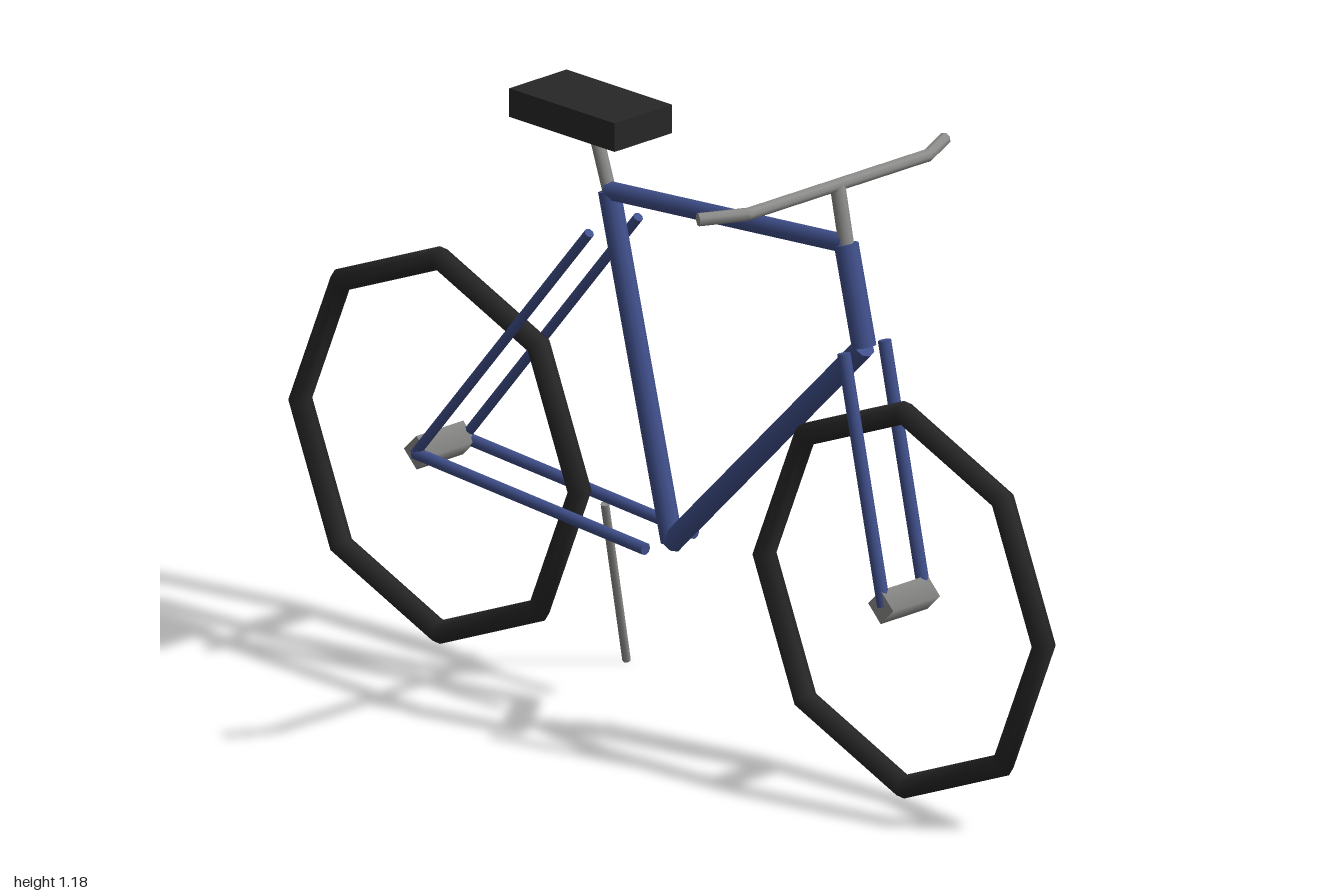
import * as THREE from 'three';

const material = (name, color) => {
  const m = new THREE.MeshStandardMaterial({ color });
  m.name = name;
  return m;
};

export function createModel() {
  const bike = new THREE.Group();
  bike.name = 'bicycle';
  const blue = material('frame blue', 0x40508c);
  const metal = material('grey metal', 0x8c8c8a);
  const black = material('black rubber', 0x272727);

  const add = (name, geometry, mat, x = 0, y = 0, z = 0) => {
    const mesh = new THREE.Mesh(geometry, mat);
    mesh.name = name;
    mesh.position.set(x, y, z);
    bike.add(mesh);
    return mesh;
  };

  // Straight tube between two points
  const tube = (name, a, b, radius, mat, sides = 8) => {
    const start = new THREE.Vector3(...a);
    const dir = new THREE.Vector3(...b).sub(start);
    const mesh = add(name, new THREE.CylinderGeometry(radius, radius, dir.length(), sides), mat);
    mesh.position.copy(start).addScaledVector(dir, 0.5);
    mesh.quaternion.setFromUnitVectors(new THREE.Vector3(0, 1, 0), dir.normalize());
  };

  // Frame joints
  const bracket = [0, 0.357, 0];
  const seatTop = [-0.165, 1.005, 0];
  const headTop = [0.458, 1.055, 0];
  const headBottom = [0.505, 0.865, 0];
  const axleX = 0.61, axleY = 0.395;

  // Main frame
  tube('seatTube', bracket, seatTop, 0.021, blue);
  tube('topTube', seatTop, headTop, 0.019, blue);
  tube('downTube', bracket, headBottom, 0.022, blue);
  tube('headTube', headBottom, headTop, 0.023, blue);

  // Paired stays and fork blades
  for (const [side, s] of [['left', 1], ['right', -1]]) {
    const z = 0.064 * s, forkZ = 0.053 * s;
    tube(side + 'ChainStay', [-axleX, axleY, z], [-0.005, 0.357, z], 0.012, blue);
    tube(side + 'SeatStay', [-axleX, axleY, z], [-0.153, 0.94, z], 0.01, blue);
    tube(side + 'ForkBlade', [headBottom[0], 0.865, forkZ], [axleX, axleY, forkZ], 0.0125, blue);
  }

  // Eight-sided tyres and square hubs
  for (const [end, x] of [['rear', -axleX], ['front', axleX]]) {
    add(end + 'Tyre', new THREE.TorusGeometry(0.367, 0.023, 6, 8), black, x, axleY);
    const hub = add(end + 'Hub', new THREE.CylinderGeometry(0.033, 0.033, 0.122, 4), metal, x, axleY);
    hub.rotation.x = Math.PI / 2;
  }

  // Saddle on its post
  tube('seatPost', seatTop, [-0.208, 1.13, 0], 0.013, metal);
  add('saddle', new THREE.BoxGeometry(0.277, 0.056, 0.15), black, -0.214, 1.149, 0);

  // Stem and swept handlebar
  const barX = 0.435, barY = 1.165, bendZ = 0.235;
  tube('stem', headTop, [barX, barY, 0], 0.0145, metal);
  tube('handlebar', [barX, barY, -bendZ], [barX, barY, bendZ], 0.0125, metal);
  for (const s of [-1, 1]) {
    const side = s > 0 ? 'left' : 'right';
    tube(side + 'Grip', [barX, barY, s * bendZ], [0.392, barY, s * 0.321], 0.0125, metal);
    add(side + 'HandlebarBend', new THREE.SphereGeometry(0.0125, 8, 6), metal, barX, barY, s * bendZ);
  }

  // Kickstand
  tube('kickstand', [-0.243, 0.355, -0.066], [-0.307, 0.003, -0.186], 0.008, metal);

  return bike;
}
